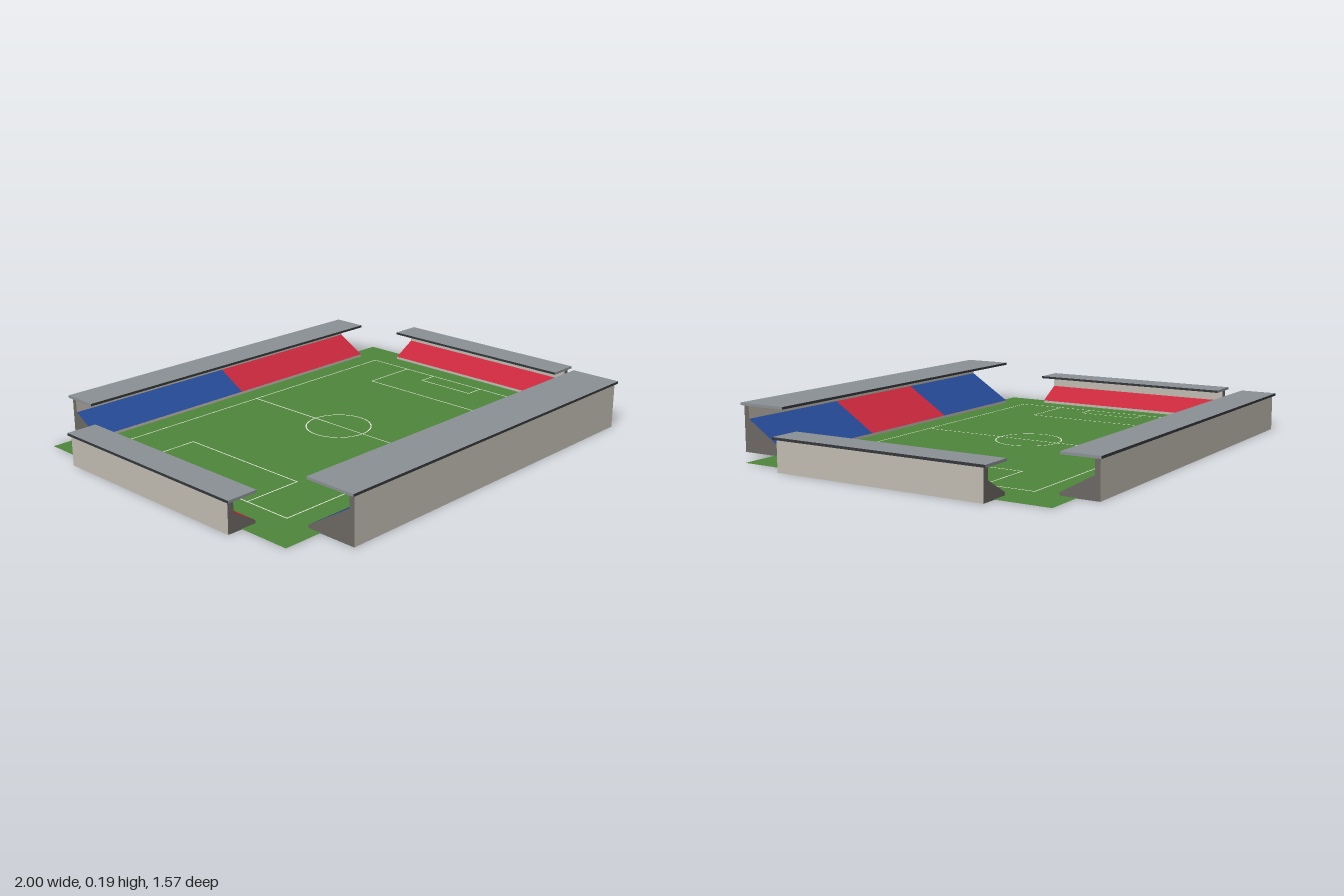
import * as THREE from 'three';

const mat = (name, color, side = THREE.DoubleSide) => {
  const m = new THREE.MeshStandardMaterial({ color, side });
  m.name = name;
  return m;
};

export function createModel() {
  const grass = mat('grass green', 0x4f863b);
  const white = mat('line white', 0xe8e8e0);
  const wall = mat('wall beige', 0xc0bbb2);
  const gable = mat('gable grey', 0x6c6763);
  const roofGrey = mat('roof grey', 0x8b9095, THREE.FrontSide);
  const fascia = mat('fascia dark', 0x34373b, THREE.FrontSide);
  const red = mat('seat red', 0xc8283c);
  const blue = mat('seat blue', 0x264a96);

  const model = new THREE.Group();
  model.name = 'stadium';
  const CZ = -0.033; // pitch centre along z

  const add = (parent, geometry, material, name) => {
    const mesh = new THREE.Mesh(geometry, material);
    mesh.name = name;
    parent.add(mesh);
    return mesh;
  };

  // Flat panel running from x0 to x1 between two profile points [z, y]
  const panel = (x0, x1, a, b) => {
    const g = new THREE.BufferGeometry();
    g.setAttribute('position', new THREE.Float32BufferAttribute([
      x0, a[1], a[0], x1, a[1], a[0], x1, b[1], b[0], x0, b[1], b[0]], 3));
    g.setIndex([0, 1, 2, 0, 2, 3]);
    g.computeVertexNormals();
    return g;
  };

  // Hollow stand, built along x with its back wall towards +z
  function stand(name, o) {
    const group = new THREE.Group();
    group.name = name;
    const h = o.length / 2;
    const profile = [[o.back, 0], [o.back, o.roofY], [o.inner, o.roofY],
      [o.inner, o.step], [o.front, 0.013], [o.front, 0]];
    add(group, panel(-h, h, profile[0], profile[1]), wall, 'backWall');
    add(group, panel(-h, h, profile[2], profile[3]), wall, 'innerWall');
    add(group, panel(-h, h, profile[4], profile[5]), wall, 'frontLip');

    // Sloped seat blocks
    const n = o.seats.length;
    o.seats.forEach((m, i) => add(group,
      panel(-h + o.length * i / n, -h + o.length * (i + 1) / n, profile[3], profile[4]),
      m, 'seatBlock'));

    // End gables and dividers between blocks
    const shape = new THREE.Shape(profile.map(p => new THREE.Vector2(p[0], p[1])));
    for (let i = 0; i <= n; i++) {
      const g = new THREE.ShapeGeometry(shape);
      g.rotateY(i === n ? -Math.PI / 2 : -Math.PI / 2);
      add(group, g, gable, i === 0 || i === n ? 'endGable' : 'divider')
        .position.x = -h + o.length * i / n;
    }

    // Roof slab with dark long edges
    const depth = o.roofBack - o.roofFront;
    add(group, new THREE.BoxGeometry(o.length + 0.026, 0.01, depth),
      [roofGrey, roofGrey, roofGrey, roofGrey, fascia, fascia], 'roof')
      .position.set(0, o.roofY + 0.005, (o.roofBack + o.roofFront) / 2);

    group.rotation.y = o.turn;
    group.position.z = o.z || 0;
    model.add(group);
  }

  stand('frontStand', {
    length: 1.545, back: 0.778, inner: 0.756, front: 0.567, step: 0.132, roofY: 0.185,
    roofFront: 0.573, roofBack: 0.786, seats: [blue, red, blue], turn: 0,
  });
  stand('backStand', {
    length: 1.545, back: 0.776, inner: 0.755, front: 0.624, step: 0.086, roofY: 0.144,
    roofFront: 0.633, roofBack: 0.786, seats: [red, blue], turn: Math.PI,
  });
  for (const s of [1, -1]) {
    stand(s > 0 ? 'leftStand' : 'rightStand', {
      length: 0.882, back: 0.992, inner: 0.966, front: s > 0 ? 0.864 : 0.869,
      step: 0.072, roofY: 0.12, roofFront: 0.873, roofBack: 1.0,
      seats: [red], turn: s * Math.PI / 2, z: -0.03,
    });
  }

  // Grass field
  const field = add(model, new THREE.PlaneGeometry(1.866, 1.316), grass, 'field');
  field.rotation.x = -Math.PI / 2;
  field.position.set(0, 0.002, CZ);

  // Pitch markings
  const markings = new THREE.Group();
  markings.name = 'pitchMarkings';
  markings.position.set(0, 0.004, CZ);
  model.add(markings);
  const W = 0.005;
  const line = (x0, z0, x1, z1) => {
    const g = new THREE.PlaneGeometry(Math.abs(x1 - x0) + W, Math.abs(z1 - z0) + W);
    g.rotateX(-Math.PI / 2);
    add(markings, g, white, 'line').position.set((x0 + x1) / 2, 0, (z0 + z1) / 2);
  };
  const X = 0.772, Z = 0.496;
  line(0, -Z, 0, Z);
  for (const s of [1, -1]) {
    line(-X, s * Z, X, s * Z);
    line(s * X, -Z, s * X, Z);
    // Penalty area and goal area
    for (const [x, z] of [[0.526, 0.294], [0.691, 0.134]]) {
      line(s * x, -z, s * x, z);
      line(s * x, z, s * X, z);
      line(s * x, -z, s * X, -z);
    }
  }
  const circle = new THREE.RingGeometry(0.131, 0.136, 48);
  circle.rotateX(-Math.PI / 2);
  add(markings, circle, white, 'centreCircle');

  return model;
}
